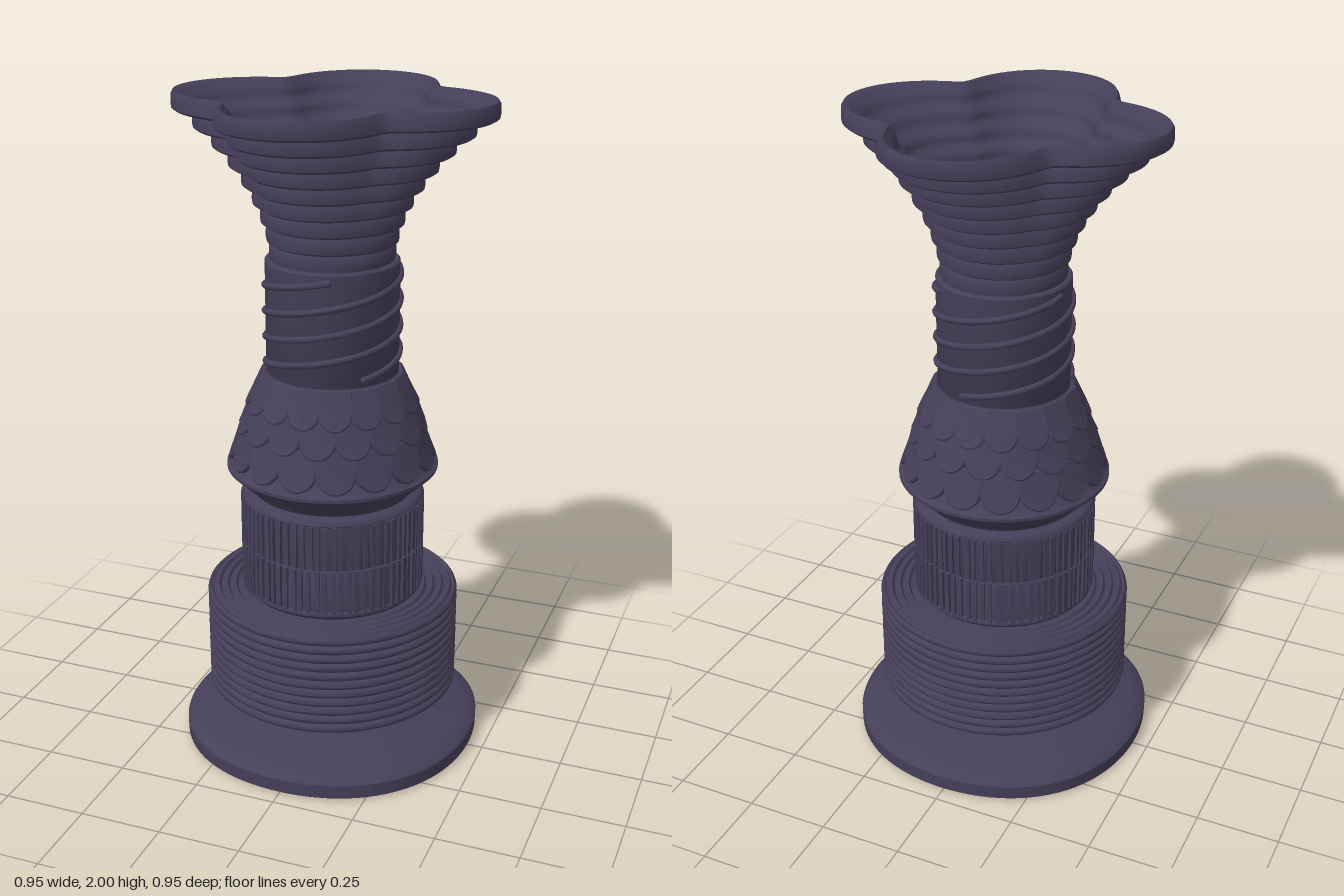
import * as THREE from 'three';
import { toCreasedNormals } from 'three/addons/utils/BufferGeometryUtils.js';

const stone = new THREE.MeshStandardMaterial({ color: 0x453f58 });
stone.name = 'dusky violet stone';

function add(parent, name, geometry) {
  const mesh = new THREE.Mesh(geometry, stone);
  mesh.name = name;
  parent.add(mesh);
  return mesh;
}

// Turned solid from [radius, y] points, listed bottom to top
function turned(points, warp) {
  const g = new THREE.LatheGeometry(points.map(([r, y]) => new THREE.Vector2(r, y)), 96);
  if (warp) {
    const p = g.attributes.position;
    for (let i = 0; i < p.count; i++) {
      const k = warp(Math.atan2(p.getX(i), p.getZ(i)), p.getY(i));
      p.setX(i, p.getX(i) * k);
      p.setZ(i, p.getZ(i) * k);
    }
  }
  return toCreasedNormals(g, 0.7);
}

// Drum with half-round rings down its side and stepped rings on both ends
function drumProfile() {
  const pts = [[0.2, 0.17], [0.25, 0.167]];
  for (let i = 0; i < 4; i++) {
    const r = 0.26 + i * 0.03;
    pts.push([r, 0.17 + i * 0.002], [r + 0.015, 0.163 + i * 0.004], [r + 0.028, 0.17 + i * 0.003]);
  }
  const n = 11, y0 = 0.18, h = 0.32 / n;
  for (let i = 0; i < n; i++) {
    for (let j = 0; j < 6; j++) {
      const a = (j / 6) * Math.PI;
      pts.push([0.37 + 0.017 * Math.sin(a), y0 + h * (i + (1 - Math.cos(a)) / 2)]);
    }
  }
  for (let i = 0; i < 4; i++) {
    const r = 0.37 - i * 0.026;
    pts.push([r, 0.493], [r - 0.006, 0.502], [r - 0.018, 0.502], [r - 0.024, 0.493]);
  }
  pts.push([0.2, 0.497]);
  return pts;
}

// Flared four-lobed bowl: stepped bands outside, soft ripples inside
function bowlGeometry() {
  const base = 1.53, height = 0.47, bands = 9, h = height / bands;
  const flare = t => 0.18 + 0.295 * Math.pow(t, 2.1);
  const pts = [];
  for (let i = 0; i < bands; i++) {
    const r = flare((i + 1) / bands), y = base + i * h;
    pts.push([r - 0.012, y], [r - 0.002, y + 0.006], [r, y + 0.016], [r, y + h - 0.01], [r - 0.006, y + h]);
  }
  for (let i = 54; i >= 0; i--) {
    const t = i / 54;
    const ripple = i < 53 ? 0.006 * Math.cos(t * bands * Math.PI * 2) : 0;
    pts.push([flare(t) - 0.02 + ripple, base + 0.004 + t * (height - 0.006)]);
  }
  return turned(pts, (a, y) => {
    const t = Math.max(0, (y - base) / height);
    const lobe = Math.sqrt(Math.cos(2 * a) ** 2 + 0.015) / Math.sqrt(1.015);
    return 1 - 0.33 * Math.pow(t, 1.5) * (1 - lobe);
  });
}

// Rounded scale, bent to the given radius
function scaleGeometry(width, length, radius) {
  const w = width / 2, s = new THREE.Shape();
  s.moveTo(-w, length);
  s.lineTo(-w, w * 1.1);
  s.absellipse(0, w * 1.1, w, w * 1.1, Math.PI, Math.PI * 2, false);
  s.lineTo(w, length);
  s.closePath();
  const g = new THREE.ExtrudeGeometry(s, {
    depth: 0.009, bevelEnabled: true, bevelSize: 0.004, bevelThickness: 0.004,
    bevelOffset: -0.004, bevelSegments: 1, curveSegments: 12,
  });
  const p = g.attributes.position;
  for (let i = 0; i < p.count; i++) p.setZ(i, p.getZ(i) - p.getX(i) ** 2 / (2 * radius));
  return toCreasedNormals(g, 0.6);
}

export function createModel() {
  const model = new THREE.Group();
  model.name = 'ornamentalPedestal';

  // Foot and its short neck
  add(model, 'foot', turned([
    [0, 0], [0.445, 0], [0.455, 0.008], [0.456, 0.05], [0.445, 0.062], [0.41, 0.073],
    [0.26, 0.098], [0.235, 0.104], [0.23, 0.115], [0.23, 0.175],
  ], (a, y) => (y < 0.08 ? 1 + 0.012 * (1 - Math.cos(4 * a)) : 1)));

  add(model, 'ringedDrum', turned(drumProfile()));

  // Fluted barrel with two tiers of uneven upright ribs
  add(model, 'barrel', turned([
    [0.22, 0.495], [0.265, 0.5], [0.276, 0.512], [0.276, 0.52], [0.27, 0.526], [0.27, 0.655],
    [0.266, 0.66], [0.27, 0.665], [0.27, 0.8], [0.277, 0.805], [0.276, 0.812], [0.265, 0.822], [0.22, 0.825],
  ]));
  const ribs = new THREE.Group();
  ribs.name = 'barrelRibs';
  model.add(ribs);
  let seed = 7;
  const random = () => (seed = (seed * 16807) % 2147483647) / 2147483647;
  for (const y of [0.591, 0.734]) {
    for (let i = 0; i < 72; i++) {
      const a = ((i + 0.35 * random()) / 72) * Math.PI * 2;
      const rib = add(ribs, 'rib', new THREE.BoxGeometry(0.009 + 0.008 * random(), 0.136, 0.02));
      rib.position.set(0.269 * Math.sin(a), y, 0.269 * Math.cos(a));
      rib.rotation.y = a;
    }
  }

  // Bell-shaped body under the scales
  add(model, 'bell', turned([
    [0.2, 0.82], [0.24, 0.82], [0.245, 0.83], [0.318, 0.898], [0.318, 0.908], [0.3, 0.92],
    [0.275, 1.0], [0.25, 1.07], [0.22, 1.15], [0.193, 1.2],
  ]));
  const scales = new THREE.Group();
  scales.name = 'scales';
  model.add(scales);
  const rows = [[0.915, 0.302, 0.31], [1.008, 0.275, 0.36], [1.085, 0.25, 0.44]];
  rows.forEach(([y, r, tilt], row) => {
    const geometry = scaleGeometry(r * 0.4, 0.122, r);
    for (let i = 0; i < 16; i++) {
      const pivot = new THREE.Group();
      pivot.name = 'scalePivot';
      pivot.rotation.y = ((i + (row % 2) / 2) / 16) * Math.PI * 2;
      scales.add(pivot);
      const scale = add(pivot, 'scale', geometry);
      scale.position.set(0, y, r);
      scale.rotation.x = -tilt;
    }
  });

  // Column with three climbing cords
  add(model, 'column', turned([
    [0.18, 1.18], [0.196, 1.2], [0.196, 1.53], [0.19, 1.536], [0, 1.536],
  ]));
  for (let s = 0; s < 3; s++) {
    const path = [];
    for (let i = 0; i <= 40; i++) {
      const t = i / 40, a = 0.3 + s * Math.PI * 2 / 3 - (1 - t) * Math.PI * 2.5;
      path.push(new THREE.Vector3(0.197 * Math.sin(a), 1.22 + 0.29 * t, 0.197 * Math.cos(a)));
    }
    const curve = new THREE.CatmullRomCurve3(path);
    add(model, 'cord', new THREE.TubeGeometry(curve, 120, 0.01, 8));
    for (const end of [path[0], path[40]]) {
      add(model, 'cordEnd', new THREE.SphereGeometry(0.01, 10, 8)).position.copy(end);
    }
  }

  add(model, 'lobedBowl', bowlGeometry());
  return model;
}
